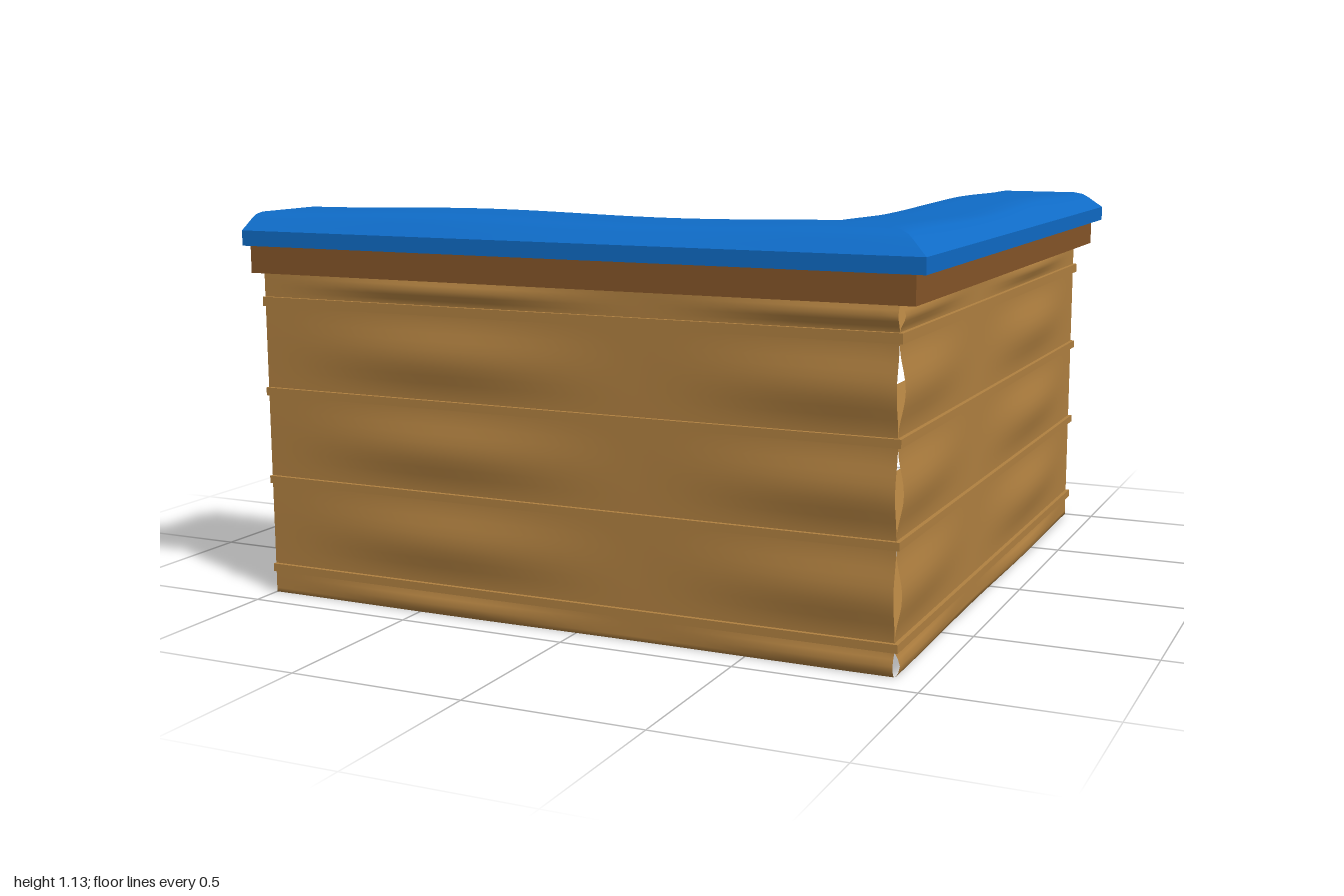
import * as THREE from 'three';
import { toCreasedNormals } from 'three/addons/utils/BufferGeometryUtils.js';

const CENTRE = 0.785; // centre line of both wall legs
const STEPS = 40;

// Gentle swelling along each leg: zero at the free end, full at the corner
const swell = (x) => 0.5 - 0.5 * Math.cos((2 * Math.PI * (x + 1)) / 1.2);

// Sweeps a closed cross-section [offset, y, waveOffset, waveY] (counterclockwise)
// along one leg, mitred at the corner and closed at the free end.
function sweepLeg(section, swap, crease) {
  const n = section.length;
  const positions = [];
  const index = [];
  const push = (x, y, z) => (swap ? positions.push(z, y, x) : positions.push(x, y, z));
  const face = (a, b, c) => (swap ? index.push(a, c, b) : index.push(a, b, c));
  const addRing = (t) => {
    for (const [d, y, waveD = 0, waveY = 0] of section) {
      const x = -1 + t * (1 + CENTRE + d);
      const a = swell(x);
      push(x, y + waveY * a, CENTRE + d + waveD * a);
    }
  };
  for (let i = 0; i <= STEPS; i++) addRing(i / STEPS);
  for (let i = 0; i < STEPS; i++) {
    for (let j = 0; j < n; j++) {
      const a = i * n + j;
      const b = i * n + ((j + 1) % n);
      face(a, a + n, b);
      face(a + n, b + n, b);
    }
  }
  // Flat free end with its own vertices
  const base = (STEPS + 1) * n;
  addRing(0);
  const contour = section.map(([d, y]) => new THREE.Vector2(d, y));
  for (const [a, b, c] of THREE.ShapeUtils.triangulateShape(contour, [])) {
    face(base + a, base + b, base + c);
  }
  const geometry = new THREE.BufferGeometry();
  geometry.setAttribute('position', new THREE.Float32BufferAttribute(positions, 3));
  geometry.setIndex(index);
  geometry.computeVertexNormals();
  return crease ? toCreasedNormals(geometry, crease) : geometry;
}

// Completes a symmetric section from its outer half, listed from bottom to top
function mirrorSection(half) {
  const inner = half.map(([d, y, wd = 0, wy = 0]) => [-d, y, -wd, wy]).reverse();
  return [...half, ...inner];
}

const rectangle = (halfWidth, y0, y1) => mirrorSection([[halfWidth, y0], [halfWidth, y1]]);

export function createModel() {
  const wood = new THREE.MeshStandardMaterial({ color: 0xb08040 });
  wood.name = 'light wood';
  const darkWood = new THREE.MeshStandardMaterial({ color: 0x855528 });
  darkWood.name = 'dark wood';
  const blue = new THREE.MeshStandardMaterial({ color: 0x0f6bc6 });
  blue.name = 'blue';

  const model = new THREE.Group();
  model.name = 'cornerWall';

  // Wall: planks that bulge between the battens
  const battens = [[0.065, 0.088], [0.33, 0.352], [0.59, 0.613], [0.85, 0.877]];
  const panels = [
    [0.088, 0.33, 10, 0.019], [0.352, 0.59, 10, 0.019],
    [0.613, 0.85, 10, 0.019], [0.877, 0.96, 6, 0.016],
  ];
  const wallHalf = [[0.123, 0, 0.004], [0.123, 0.012, 0.012], [0.123, 0.03, 0.016], [0.123, 0.048, 0.01], [0.123, 0.065]];
  for (const [y0, y1, count, bulge] of panels) {
    for (let i = 0; i <= count; i++) {
      const u = i / count;
      wallHalf.push([0.123, y0 + u * (y1 - y0), bulge * Math.sin(Math.PI * u) ** 2]);
    }
  }

  // Coping: chamfered top that rises softly with the swell
  const capHalf = [
    [0.215, 1.03], [0.215, 1.073], [0.195, 1.086, 0, 0.002], [0.17, 1.103, 0, 0.004],
    [0.148, 1.115, 0, 0.007], [0.12, 1.12, 0, 0.01], [0.06, 1.12, 0, 0.01],
  ];

  const parts = [
    ['wall', mirrorSection(wallHalf), wood, 0],
    ...battens.map(([y0, y1], i) => [`batten${i + 1}`, rectangle(0.135, y0, y1), wood, 0.6]),
    ['trim', rectangle(0.18, 0.95, 1.03), darkWood, 0.6],
    ['coping', mirrorSection(capHalf), blue, 0.9],
  ];

  // Two identical legs, mirrored across the corner diagonal
  for (const swap of [false, true]) {
    const leg = new THREE.Group();
    leg.name = swap ? 'sideLeg' : 'frontLeg';
    for (const [name, section, material, crease] of parts) {
      const mesh = new THREE.Mesh(sweepLeg(section, swap, crease), material);
      mesh.name = name;
      leg.add(mesh);
    }
    model.add(leg);
  }
  return model;
}
